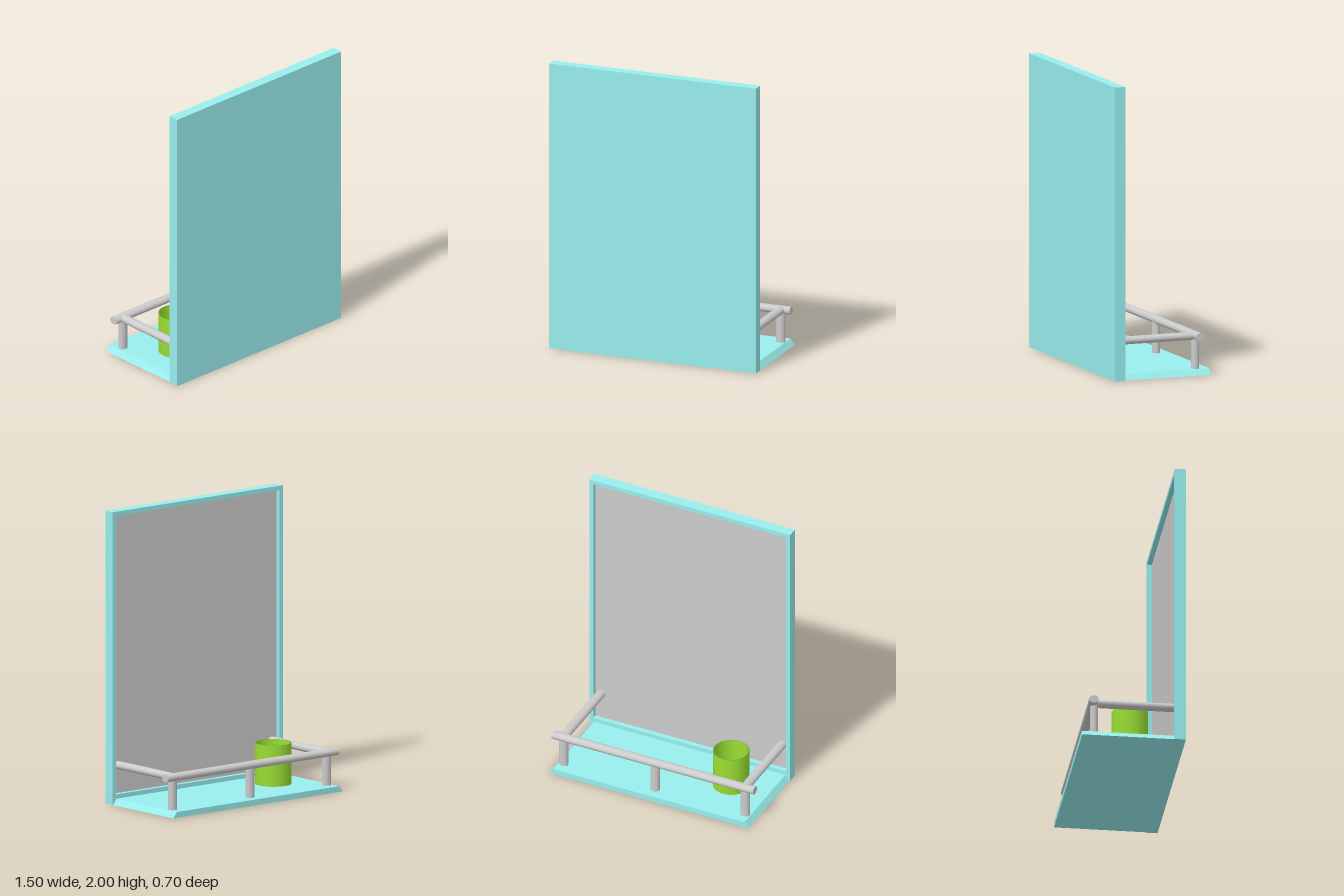
import * as THREE from 'three';

const aqua = new THREE.MeshStandardMaterial({ color: 0x99eeee });
const grey = new THREE.MeshStandardMaterial({ color: 0xcccccc });
const green = new THREE.MeshStandardMaterial({ color: 0x99dd33, side: THREE.DoubleSide });

function add(parent, name, geometry, material, x = 0, y = 0, z = 0) {
  const mesh = new THREE.Mesh(geometry, material);
  mesh.name = name;
  mesh.position.set(x, y, z);
  parent.add(mesh);
  return mesh;
}

// Closed outline from [x, y] points
const outline = (Type, points) => new Type(points.map(([x, y]) => new THREE.Vector2(x, y)));

const extrude = (shape, depth) => new THREE.ExtrudeGeometry(shape, { depth, bevelEnabled: false });

export function createModel() {
  const model = new THREE.Group();
  model.name = 'mirrorWithShelf';

  // Front board, with a raised border around the mirror behind it
  add(model, 'board', new THREE.BoxGeometry(1.5, 2, 0.04), aqua, 0, 1, 0.33);
  const border = outline(THREE.Shape, [[-0.75, 0], [0.75, 0], [0.75, 2], [-0.75, 2]]);
  border.holes.push(outline(THREE.Path, [[-0.72, 0.07], [-0.72, 1.97], [0.72, 1.97], [0.72, 0.07]]));
  add(model, 'mirrorFrame', extrude(border, 0.035), aqua, 0, 0, 0.275);
  const mirror = add(model, 'mirror', new THREE.PlaneGeometry(1.44, 1.9), grey, 0, 1.02, 0.308);
  mirror.rotation.y = Math.PI;

  // Shelf with slanted ends
  const section = outline(THREE.Shape, [[-0.745, 0], [0.745, 0], [0.715, 0.04], [-0.715, 0.04]]);
  add(model, 'shelf', extrude(section, 0.625), aqua, 0, 0, -0.35);

  // Guard rail: long bar, two side bars and three posts
  const rail = new THREE.Group();
  rail.name = 'guardRail';
  model.add(rail);
  const backBar = new THREE.CylinderGeometry(0.03, 0.03, 1.505, 20)
    .rotateZ(Math.PI / 2).scale(1, 0.9, 1.1);
  add(rail, 'backBar', backBar, grey, -0.0025, 0.262, -0.272);
  for (const x of [-0.678, 0.678]) {
    const sideBar = new THREE.CylinderGeometry(0.03, 0.03, 0.575, 20)
      .rotateX(Math.PI / 2).scale(1.1, 0.9, 1);
    add(rail, 'sideBar', sideBar, grey, x, 0.262, 0.0175);
  }
  for (const x of [-0.678, -0.005, 0.678]) {
    const post = new THREE.CylinderGeometry(0.03, 0.03, 0.21, 20).scale(1.1, 1, 0.9);
    add(rail, 'post', post, grey, x, 0.145, -0.262);
  }

  // Open cup standing on the shelf
  const cup = [[0.117, 0.04], [0.123, 0.04], [0.123, 0.32], [0.117, 0.32], [0.117, 0.04]];
  add(model, 'cup', new THREE.LatheGeometry(cup.map(([r, y]) => new THREE.Vector2(r, y)), 20),
    green, -0.44, 0, 0.01);

  return model;
}
